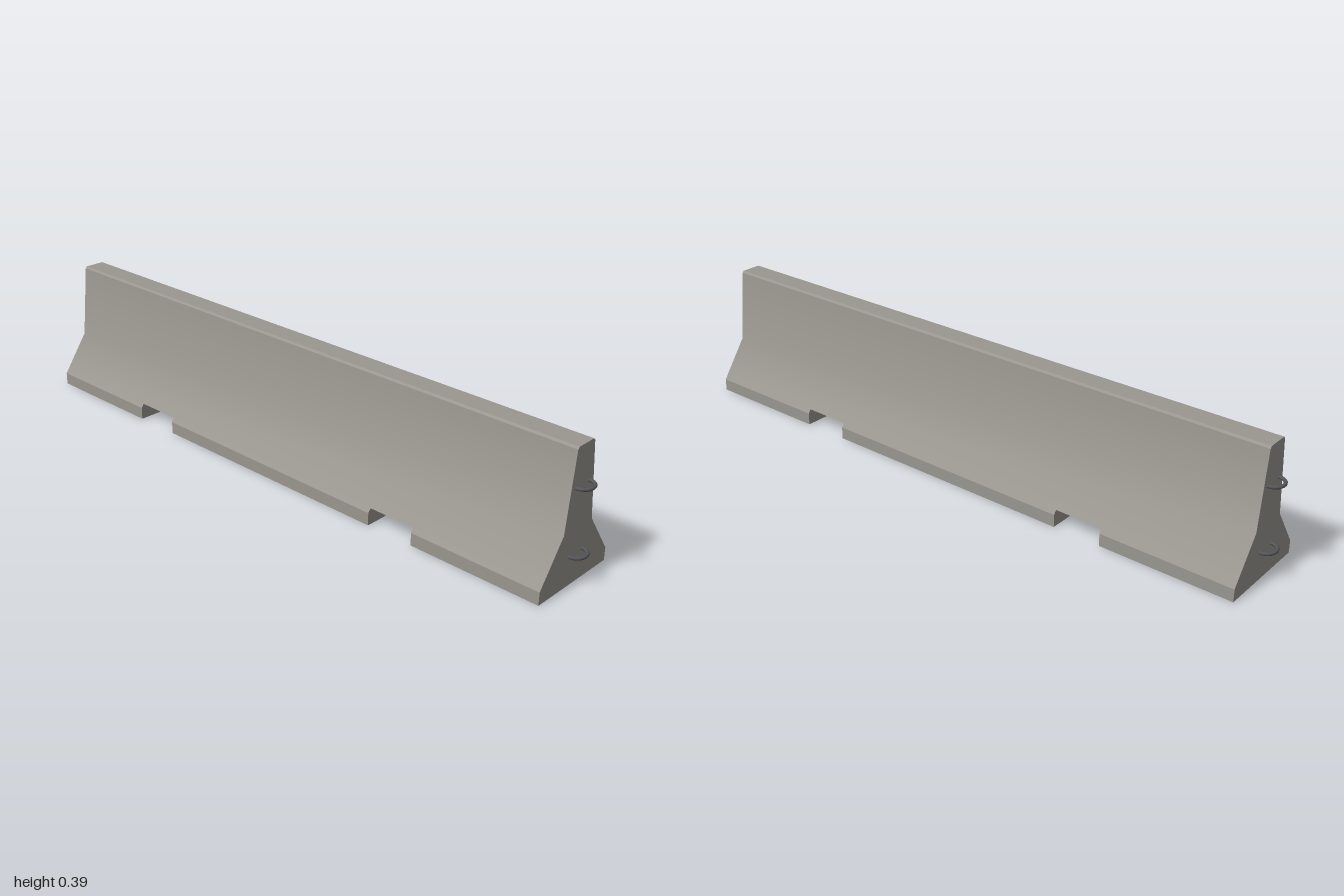
import * as THREE from 'three';
import { toCreasedNormals } from 'three/addons/utils/BufferGeometryUtils.js';

const concrete = new THREE.MeshStandardMaterial({ name: 'concrete grey', color: 0x9a9790 });
const steel = new THREE.MeshStandardMaterial({ name: 'dark steel', color: 0x55565a });

const HALF_LENGTH = 0.965;
const NOTCH_TOP = 0.05;
const NOTCH_HALF_WIDTH = 0.1395; // width of the flare at the notch ceiling

// Extrude a mirrored half profile [z, y] along x, from x0 to x1
function extrudeAlongX(name, half, x0, x1) {
  const right = half.map(([z, y]) => new THREE.Vector2(z, y));
  const left = half.map(([z, y]) => new THREE.Vector2(-z, y)).reverse();
  const geometry = new THREE.ExtrudeGeometry(new THREE.Shape([...right, ...left]), {
    depth: x1 - x0, bevelEnabled: false,
  });
  geometry.rotateY(Math.PI / 2).translate(x0, 0, 0);
  const mesh = new THREE.Mesh(toCreasedNormals(geometry, THREE.MathUtils.degToRad(32)), concrete);
  mesh.name = name;
  return mesh;
}

// U-shaped bar sticking out of one end
function connectorLoop(name, side, y) {
  const r = 0.03;
  const centre = 0.965;
  const points = [new THREE.Vector3(side * 0.94, y, -r)];
  for (let i = 0; i <= 10; i++) {
    const a = -Math.PI / 2 + (Math.PI * i) / 10;
    points.push(new THREE.Vector3(side * (centre + r * Math.cos(a)), y, r * Math.sin(a)));
  }
  points.push(new THREE.Vector3(side * 0.94, y, r));
  const path = new THREE.CatmullRomCurve3(points);
  const mesh = new THREE.Mesh(new THREE.TubeGeometry(path, 40, 0.005, 10), steel);
  mesh.name = name;
  return mesh;
}

export function createModel() {
  const group = new THREE.Group();
  group.name = 'roadBarrier';

  // Tapered wall with flared lower part and chamfered top
  group.add(extrudeAlongX('wall', [
    [NOTCH_HALF_WIDTH, NOTCH_TOP], [0.062, 0.16], [0.037, 0.387], [0.032, 0.393],
  ], -HALF_LENGTH, HALF_LENGTH));

  // Three feet, leaving two lifting notches between them
  const foot = [[0.148, 0], [0.148, 0.038], [NOTCH_HALF_WIDTH, NOTCH_TOP]];
  group.add(extrudeAlongX('rightFoot', foot, -HALF_LENGTH, -0.56));
  group.add(extrudeAlongX('middleFoot', foot, -0.41, 0.41));
  group.add(extrudeAlongX('leftFoot', foot, 0.56, HALF_LENGTH));

  // Connector loops on both ends
  for (const side of [-1, 1]) {
    const end = side > 0 ? 'left' : 'right';
    group.add(connectorLoop(end + 'UpperLoop', side, 0.281));
    group.add(connectorLoop(end + 'LowerLoop', side, 0.088));
  }
  return group;
}
